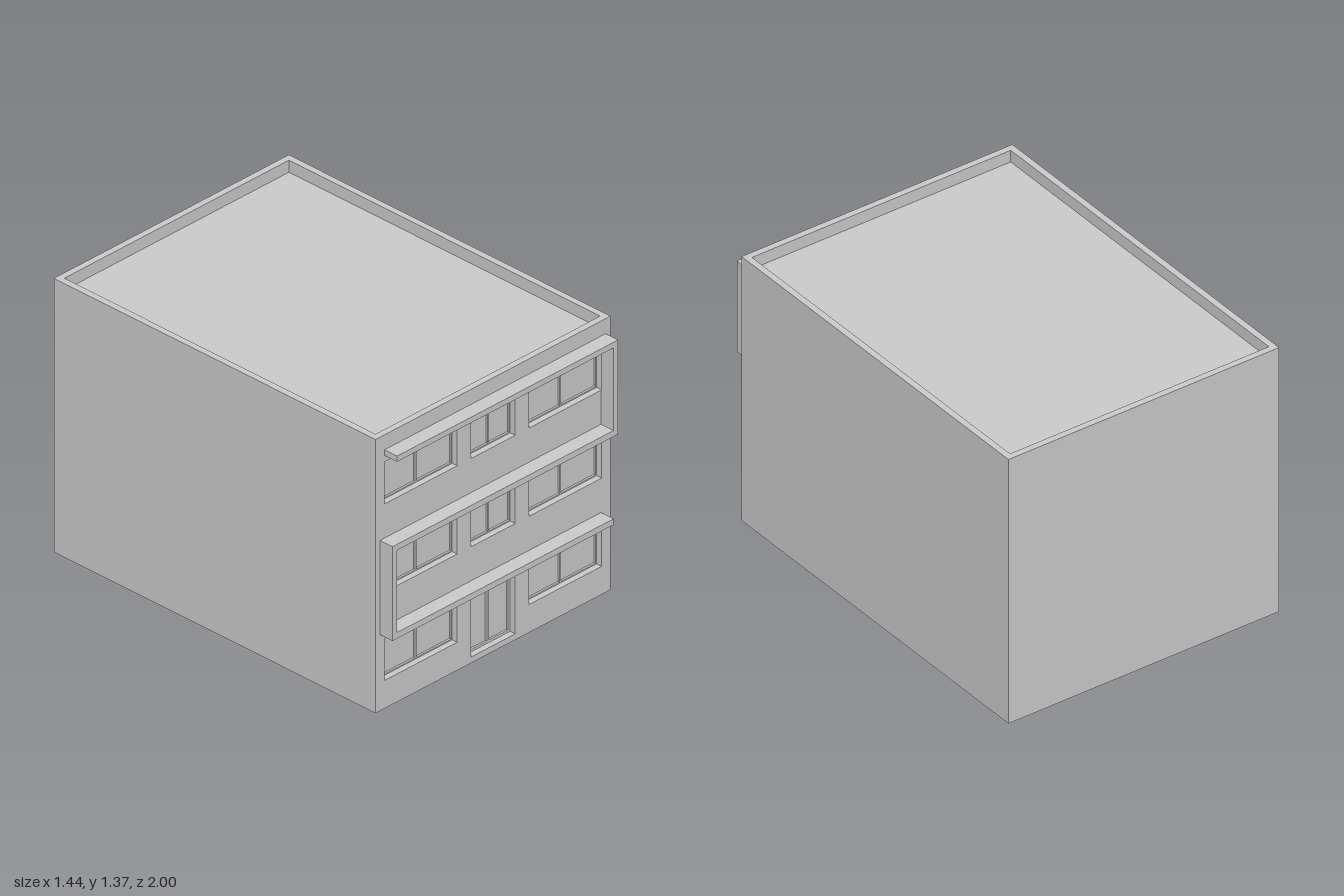
import * as THREE from 'three';

const W = 0.72, H = 1.365, BACK = -1, FRONT = 0.925, T = 0.032, ROOF = 1.305;

export function createModel() {
  const model = new THREE.Group();
  const material = new THREE.MeshStandardMaterial({ color: 0xcccccc, flatShading: true });

  const add = (name, geometry) => {
    const mesh = new THREE.Mesh(geometry, material);
    mesh.name = name;
    model.add(mesh);
    return mesh;
  };
  const box = (name, x0, x1, y0, y1, z0, z1) =>
    add(name, new THREE.BoxGeometry(x1 - x0, y1 - y0, z1 - z0))
      .position.set((x0 + x1) / 2, (y0 + y1) / 2, (z0 + z1) / 2);
  const polygon = (points) => new THREE.Shape(points.map(([x, y]) => new THREE.Vector2(x, y)));
  const rect = ([x0, x1, y0, y1]) => polygon([[x0, y0], [x1, y0], [x1, y1], [x0, y1]]);
  const extrude = (shape, depth) =>
    new THREE.ExtrudeGeometry(shape, { depth, bevelEnabled: false });

  // Openings: x0, x1, y0, y1, frame width
  const openings = [];
  for (const y of [0.14, 0.58, 1.02]) {
    openings.push([-0.665, -0.22, y, y + 0.21, 0.006], [0.22, 0.665, y, y + 0.21, 0.006]);
    if (y > 0.2) openings.push([-0.135, 0.135, y, y + 0.21, 0.006]);
  }
  openings.push([-0.135, 0.135, 0.03, 0.35, 0.012]);

  // Front wall pierced by windows and door
  const facade = rect([-W, W, 0, H]);
  facade.holes = openings.map(rect);
  add('frontWall', extrude(facade, T)).position.z = FRONT - T;

  // Side and back walls, rising past the roof as a parapet
  const f = FRONT - T;
  const plan = polygon([
    [-W, -f], [-W + T, -f], [-W + T, -BACK - T], [W - T, -BACK - T],
    [W - T, -f], [W, -f], [W, -BACK], [-W, -BACK],
  ]);
  add('sideAndBackWalls', extrude(plan, H).rotateX(-Math.PI / 2));

  // Roof deck and base
  box('roofDeck', -W + T, W - T, ROOF - 0.03, ROOF, BACK + T, f);
  box('baseSlab', -W + T, W - T, 0, 0.02, BACK + T, f);

  // Double-paned frames with recessed panes
  for (const [x0, x1, y0, y1, b] of openings) {
    const kind = y0 < 0.1 ? 'door' : 'window';
    const mid = (x0 + x1) / 2, half = b * 0.6;
    const frame = rect([x0, x1, y0, y1]);
    frame.holes = [
      rect([x0 + b, mid - half, y0 + b, y1 - b]),
      rect([mid + half, x1 - b, y0 + b, y1 - b]),
    ];
    add(kind + 'Frame', extrude(frame, 0.02)).position.z = FRONT - 0.05;
    box(kind + 'Panes', x0, x1, y0, y1, FRONT - 0.06, FRONT - 0.04);
  }

  // Continuous zigzag canopy band across the facade
  const band = polygon([
    [-0.665, 1.29], [-0.665, 1.262], [0.661, 1.262], [0.661, 0.85], [-0.693, 0.85],
    [-0.693, 0.38], [0.661, 0.38], [0.661, 0.41], [-0.665, 0.41], [-0.665, 0.82],
    [0.69, 0.82], [0.69, 1.29],
  ]);
  add('canopyBand', extrude(band, 1 - FRONT)).position.z = FRONT;

  return model;
}
